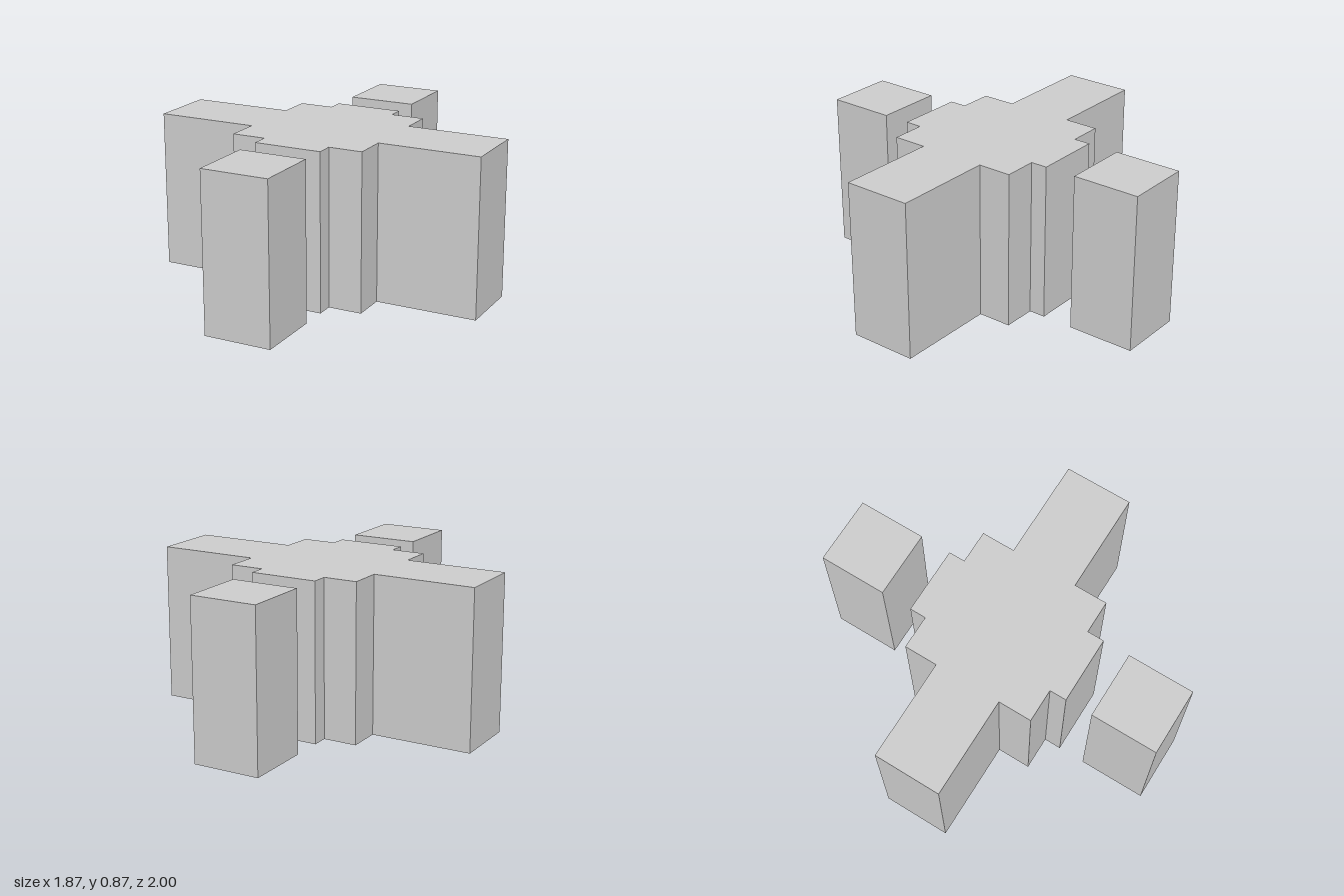
import * as THREE from 'three';

const HEIGHT = 0.867;

export function createModel() {
  const model = new THREE.Group();
  const material = new THREE.MeshStandardMaterial({ color: 0xcccccc, flatShading: true });

  // Stepped cross-shaped core: right half of the plan as (x, z), mirrored for the other half
  const half = [
    [0.187, 0.478], [0.187, 0.384], [0.373, 0.384], [0.373, 0.197], [0.933, 0.197],
    [0.933, -0.178], [0.373, -0.178], [0.373, -0.364], [0.187, -0.364], [0.187, -0.455],
  ];
  const mirrored = half.map(([x, z]) => [-x, z]).reverse();
  const plan = new THREE.Shape([...half, ...mirrored].map(([x, z]) => new THREE.Vector2(x, -z)));
  const coreGeometry = new THREE.ExtrudeGeometry(plan, { depth: HEIGHT, bevelEnabled: false });
  coreGeometry.rotateX(-Math.PI / 2);
  const core = new THREE.Mesh(coreGeometry, material);
  core.name = 'steppedCore';
  model.add(core);

  // Free-standing square pillars in front of and behind the core
  for (const [name, side] of [['frontPillar', 1], ['backPillar', -1]]) {
    const pillar = new THREE.Mesh(new THREE.BoxGeometry(0.374, HEIGHT, 0.373), material);
    pillar.name = name;
    pillar.position.set(0, HEIGHT / 2, side * 0.8135);
    model.add(pillar);
  }

  return model;
}
